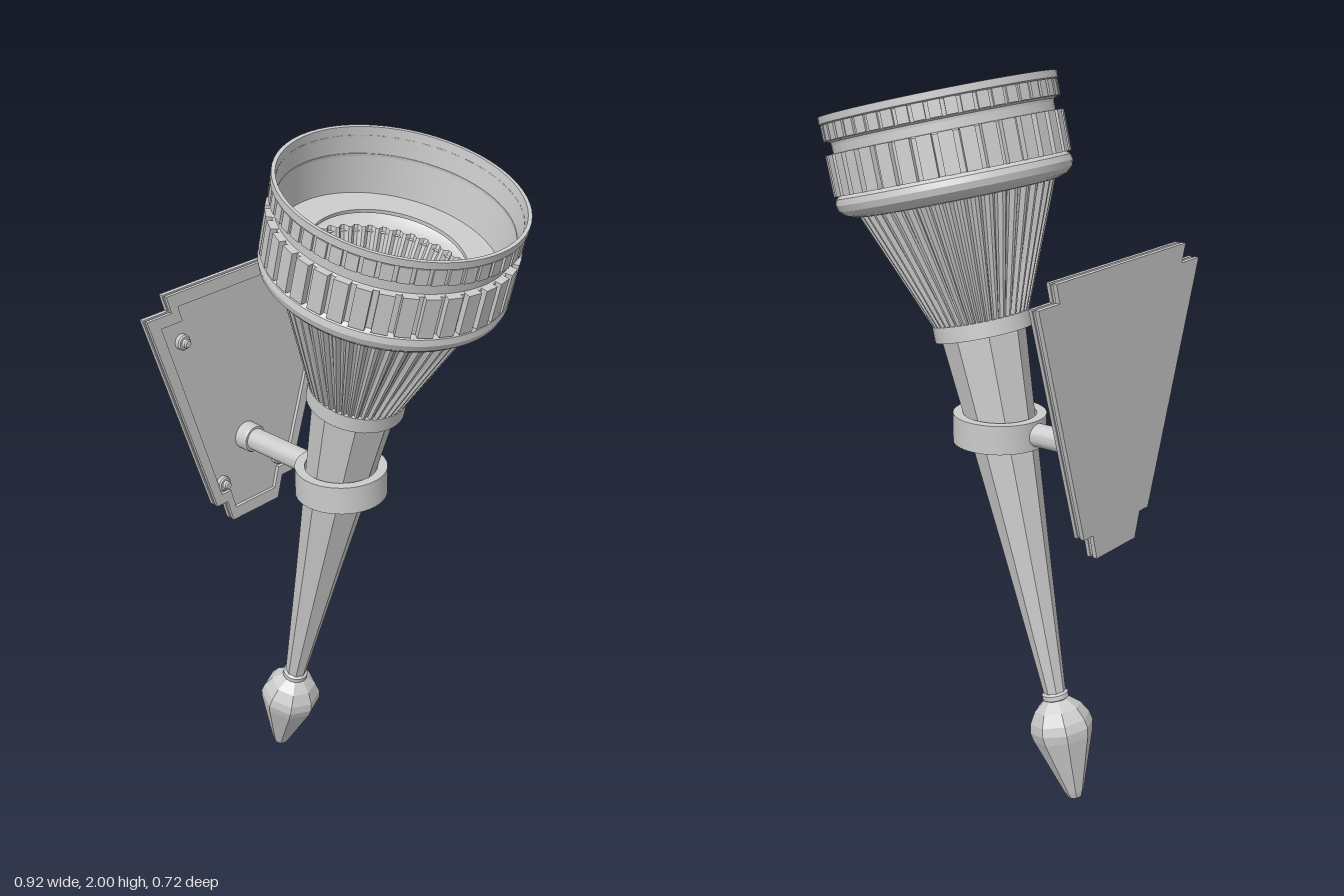
import * as THREE from 'three';
import { toCreasedNormals } from 'three/addons/utils/BufferGeometryUtils.js';

const smooth = new THREE.MeshStandardMaterial({ color: 0xcccccc, side: THREE.DoubleSide });
const faceted = new THREE.MeshStandardMaterial({ color: 0xcccccc, side: THREE.DoubleSide, flatShading: true });

function add(parent, name, geometry, material = smooth) {
  const mesh = new THREE.Mesh(geometry, material);
  mesh.name = name;
  parent.add(mesh);
  return mesh;
}

// Profile of [radius, height] pairs turned about y
function turned(points, sides, crease = 0.5) {
  const geo = new THREE.LatheGeometry(points.map(([r, y]) => new THREE.Vector2(r, y)), sides);
  return toCreasedNormals(geo, crease);
}

// Open cone whose wall alternates between raised slats and grooves
function slattedCone(rTop, rBottom, yBottom, yTop, slats, depth) {
  const geo = new THREE.CylinderGeometry(rTop, rBottom, yTop - yBottom, slats * 4, 1, true);
  const pos = geo.attributes.position;
  const columns = slats * 4 + 1;
  for (let i = 0; i < pos.count; i++) {
    if ((i % columns) % 4 < 2) continue;
    const r = Math.hypot(pos.getX(i), pos.getZ(i));
    const k = (r - depth) / r;
    pos.setXYZ(i, pos.getX(i) * k, pos.getY(i), pos.getZ(i) * k);
  }
  return geo.translate(0, (yBottom + yTop) / 2, 0);
}

// Ring of small upright blocks
function blockRing(parent, name, count, radius, y, width, height, depth) {
  const ring = new THREE.Group();
  ring.name = name;
  for (let i = 0; i < count; i++) {
    const a = (i / count) * Math.PI * 2;
    const block = add(ring, name + 'Block', new THREE.BoxGeometry(width, height, depth));
    block.position.set(Math.sin(a) * radius, y, Math.cos(a) * radius);
    block.rotation.y = a;
  }
  parent.add(ring);
}

function makeTorch() {
  const torch = new THREE.Group();
  torch.name = 'torch';

  // Pointed finial, neck ring and tapering eight-sided shaft
  add(torch, 'finial', turned([[0, 0], [0.02, 0], [0.028, 0.018], [0.085, 0.185], [0.09, 0.21],
    [0.085, 0.235], [0.066, 0.268], [0.03, 0.298]], 8), faceted);
  add(torch, 'neckRing', turned([[0.028, 0.29], [0.037, 0.297], [0.037, 0.31], [0.028, 0.317]], 16));
  add(torch, 'shaft', turned([[0.03, 0.3], [0.065, 0.75], [0.092, 1.07], [0.115, 1.34],
    [0.12, 1.4], [0, 1.4]], 8), faceted);
  add(torch, 'collar', turned([[0.105, 1.337], [0.133, 1.337], [0.133, 1.38], [0.105, 1.38]], 40));

  // Flaring cup of slats
  add(torch, 'slattedCup', slattedCone(0.268, 0.13, 1.375, 1.715, 44, 0.011), faceted);

  // Rounded lip, band, groove, rim, inner wall and shelf
  add(torch, 'head', turned([[0.255, 1.702], [0.275, 1.704], [0.298, 1.712], [0.313, 1.726],
    [0.318, 1.743], [0.314, 1.759], [0.303, 1.768], [0.303, 1.872], [0.297, 1.876], [0.297, 1.905],
    [0.311, 1.91], [0.311, 1.952], [0.318, 1.956], [0.318, 1.975], [0.308, 1.975],
    [0.283, 1.8], [0.2, 1.8], [0.2, 1.79], [0.283, 1.79]], 64));
  blockRing(torch, 'bandRib', 36, 0.306, 1.821, 0.039, 0.108, 0.024);
  blockRing(torch, 'rimRib', 48, 0.31, 1.932, 0.031, 0.042, 0.012);

  torch.position.set(-0.335, 0.005, 0.02);
  torch.rotation.z = -0.2475;
  return torch;
}

// Stepped, tapering outline, optionally shrunk about its middle
function plateOutline(Type, sz = 1, sy = 1) {
  const half = [[0.09, 0.8], [0.11, 0.87], [0.15, 0.87], [0.36, 1.51], [0.275, 1.51], [0.29, 1.56]];
  const mirrored = half.map(([z, y]) => [-z, y]).reverse();
  return new Type([...half, ...mirrored].map(([z, y]) => new THREE.Vector2(z * sz, 1.18 + (y - 1.18) * sy)));
}

function makeBracket() {
  const bracket = new THREE.Group();
  bracket.name = 'wallBracket';

  // Wall plate: back slab, recessed core, raised frame
  const slab = (name, shape, x, depth) => {
    const geo = new THREE.ExtrudeGeometry(shape, { depth, bevelEnabled: false });
    add(bracket, name, geo.rotateY(Math.PI / 2).translate(x, 0, 0));
  };
  const frame = plateOutline(THREE.Shape);
  frame.holes.push(plateOutline(THREE.Path, 0.87, 0.9));
  slab('backPlate', plateOutline(THREE.Shape), -0.459, 0.012);
  slab('plateCore', plateOutline(THREE.Shape, 0.985, 0.985), -0.447, 0.008);
  slab('plateFrame', frame, -0.439, 0.01);

  // Bolts
  const bolt = turned([[0.022, 0], [0.022, 0.012], [0.018, 0.016], [0.012, 0.016],
    [0.012, 0.026], [0.009, 0.03], [0, 0.03]], 16);
  bolt.rotateZ(-Math.PI / 2);
  for (const [z, y] of [[0.23, 1.415], [0.11, 0.933]]) {
    for (const side of [-1, 1]) add(bracket, 'bolt', bolt).position.set(-0.439, y, 0.01 + side * z);
  }

  // Arm with flange, lying along x
  const arm = turned([[0.041, -0.439], [0.041, -0.404], [0.038, -0.399], [0.032, -0.399], [0.032, -0.16]], 24);
  arm.rotateZ(-Math.PI / 2);
  add(bracket, 'arm', arm).position.set(0, 1.05, 0.02);

  // Ring that holds the shaft
  add(bracket, 'holderRing', turned([[0.1, 1.01], [0.127, 1.01], [0.127, 1.09], [0.1, 1.09], [0.1, 1.01]], 40))
    .position.set(-0.062, 0, 0.02);
  return bracket;
}

export function createModel() {
  const model = new THREE.Group();
  model.name = 'wallTorch';
  model.add(makeTorch(), makeBracket());
  return model;
}
